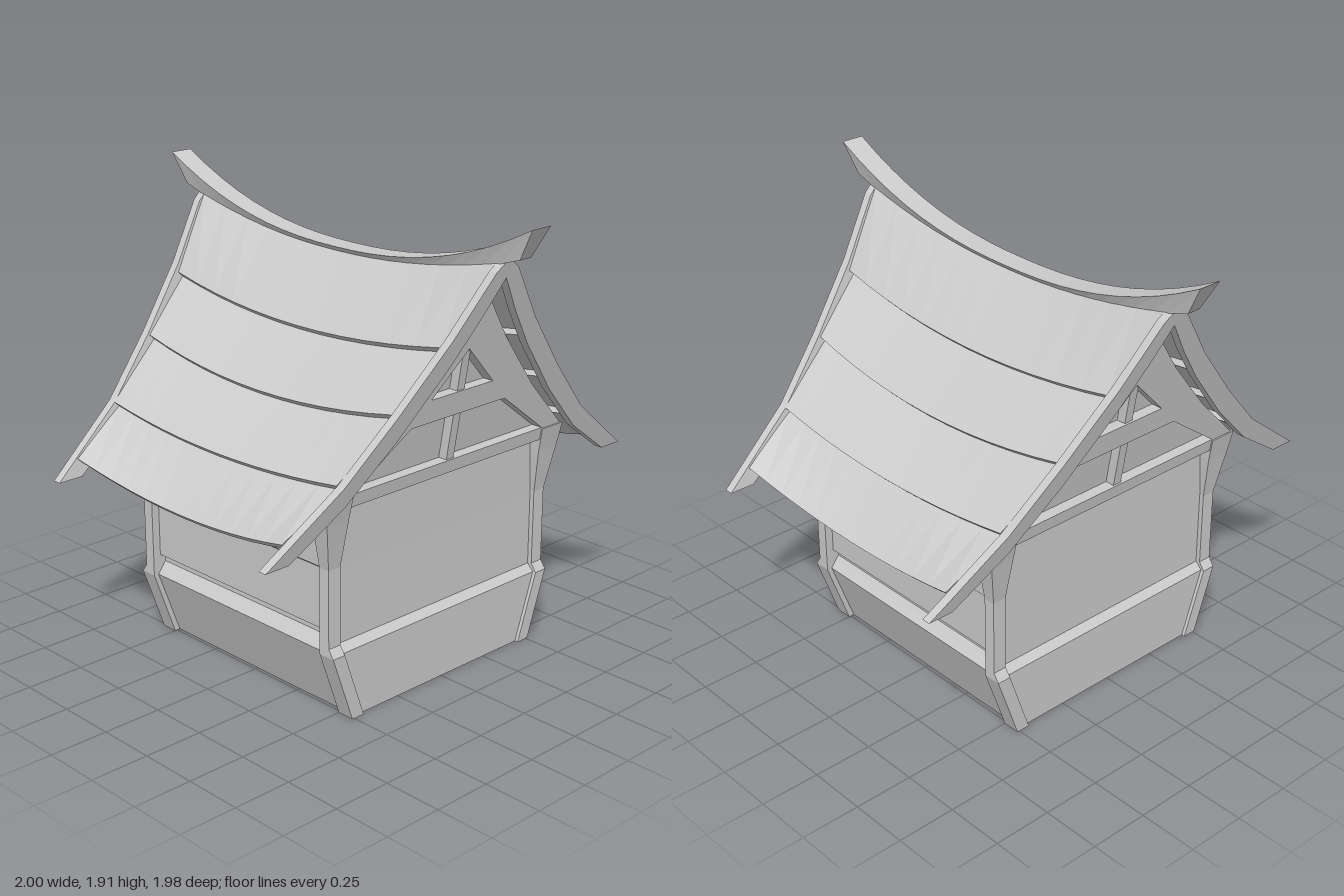
import * as THREE from 'three';

const mat = new THREE.MeshStandardMaterial({ color: 0xcccccc, flatShading: true });
const thin = new THREE.MeshStandardMaterial({ color: 0xcccccc, flatShading: true, side: THREE.DoubleSide });

// Solid through a row of cross-sections (each a ring of [x, y, z]), capped at both ends
function loft(rings) {
  const n = rings[0].length, tris = [];
  for (let i = 0; i < rings.length - 1; i++) {
    for (let j = 0; j < n; j++) {
      const k = (j + 1) % n;
      const [a, b, c, d] = [rings[i][j], rings[i][k], rings[i + 1][k], rings[i + 1][j]];
      tris.push([a, b, c], [a, c, d]);
    }
  }
  const first = rings[0], last = rings[rings.length - 1];
  for (let j = 1; j < n - 1; j++) {
    tris.push([first[0], first[j + 1], first[j]], [last[0], last[j], last[j + 1]]);
  }
  // Turn the faces outward whatever the order of the rings
  let volume = 0;
  const v = () => new THREE.Vector3();
  for (const [a, b, c] of tris) {
    volume += v().fromArray(a).dot(v().fromArray(b).cross(v().fromArray(c)));
  }
  if (volume < 0) tris.forEach((t) => t.reverse());
  const g = new THREE.BufferGeometry();
  g.setAttribute('position', new THREE.Float32BufferAttribute(tris.flat(2), 3));
  g.computeVertexNormals();
  return g;
}

// Horizontal rectangle as a loft section
const rect = (y, x0, x1, z0, z1) => [[x0, y, z0], [x1, y, z0], [x1, y, z1], [x0, y, z1]];

function add(parent, name, geometry, material = mat) {
  const mesh = new THREE.Mesh(geometry, material);
  mesh.name = name;
  parent.add(mesh);
  return mesh;
}

// Curved ridge beam with upswept, slanted ends
function ridgeBeam() {
  const rings = [];
  for (let i = 0; i <= 20; i++) {
    const t = i / 10 - 1, lift = Math.abs(t) ** 2.3;
    const top = 1.675 + 0.235 * lift, low = 1.645 + 0.14 * lift;
    rings.push([[t, top, 0.05], [t, top, -0.05], [0.93 * t, low, -0.03], [0.93 * t, low, 0.03]]);
  }
  return loft(rings);
}

// Roof courses: eave lines as [half width, y at end, y at middle, z at end, z at middle]
const COURSES = [
  [0.82, 1.755, 1.665, 0.03, 0.03],
  [0.75, 1.465, 1.4, 0.235, 0.265],
  [0.70, 1.245, 1.18, 0.435, 0.465],
  [0.65, 1.02, 0.98, 0.665, 0.685],
  [0.605, 0.845, 0.775, 0.89, 0.865],
];
function roofCourse(i) {
  const at = ([w, ye, yc, ze, zc], s, drop) => [
    w * s, yc + (ye - yc) * s * s - 0.02 * drop, zc + (ze - zc) * s * s - 0.021 * drop];
  const rings = [];
  for (let k = 0; k <= 12; k++) {
    const s = k / 6 - 1, tuck = i > 0 ? 1 : 0;
    rings.push([at(COURSES[i], s, tuck), at(COURSES[i + 1], s, 0),
      at(COURSES[i + 1], s, 1.1), at(COURSES[i], s, tuck + 1)]);
  }
  return loft(rings);
}

// Bargeboard over both slopes: [outer z, outer y, inner z, inner y]
function bargeboard() {
  const half = [
    [0.99, 0.77, 0.88, 0.77], [0.66, 1.02, 0.64, 0.935], [0.44, 1.25, 0.42, 1.15],
    [0.225, 1.5, 0.21, 1.395], [0.06, 1.73, 0.09, 1.56],
  ];
  const path = [...half, [0, 1.78, 0, 1.7],
    ...half.map(([a, b, c, d]) => [-a, b, -c, d]).reverse()];
  const x = (y) => 0.595 + (y - 0.77) * 0.227;
  return loft(path.map(([zo, yo, zi, yi]) => [
    [x(yo), yo, zo], [x(yo) + 0.037, yo, zo], [x(yi) + 0.037, yi, zi], [x(yi), yi, zi]]));
}

// Corner post: splayed foot, straight shaft, flared head
function cornerPost() {
  return loft([
    [0, 0.575, 0.45, 0.51], [0.285, 0.575, 0.55, 0.61], [0.32, 0.55, 0.55, 0.61],
    [0.64, 0.55, 0.55, 0.61], [0.83, 0.58, 0.535, 0.645], [0.93, 0.6, 0.53, 0.655],
  ].map(([y, x, zi, zo]) => rect(y, 0.5, x, zi, zo)));
}

// Gable truss, leaning outward with height
function lean(g) {
  g.rotateY(Math.PI / 2);
  const p = g.attributes.position;
  for (let i = 0; i < p.count; i++) p.setX(i, p.getX(i) + (p.getY(i) - 0.88) * 0.17);
  g.computeVertexNormals();
  return g;
}
const poly = (points) => points.map(([a, b]) => new THREE.Vector2(a, b));
function gableShape() {
  const half = [[0.535, 0.88], [0.655, 0.92], [0.42, 1.15], [0.21, 1.395], [0.09, 1.56]];
  return new THREE.Shape(poly([...half, [0, 1.7], ...half.map(([a, b]) => [-a, b]).reverse()]));
}
function gableFrame() {
  const shape = gableShape();
  shape.holes.push(
    new THREE.Path(poly([[0.53, 0.935], [-0.53, 0.935], [-0.26, 1.13], [0.26, 1.13]])),
    new THREE.Path(poly([[0.17, 1.225], [-0.17, 1.225], [0, 1.395]])));
  const g = new THREE.ExtrudeGeometry(shape, { depth: 0.06, bevelEnabled: false });
  return lean(g.translate(0, 0, 0.525));
}

export function createModel() {
  const model = new THREE.Group();
  model.name = 'curvedRoofHouse';

  add(model, 'ridgeBeam', ridgeBeam());

  // Front and back: roof slope and lapped plank wall over a sloping skirt
  for (const side of ['front', 'back']) {
    const group = new THREE.Group();
    group.name = side + 'Side';
    if (side === 'back') group.rotation.y = Math.PI;
    model.add(group);
    for (let i = 0; i < 4; i++) add(group, 'roofCourse' + (i + 1), roofCourse(i));
    const wall = [[0, 0.485], [0.285, 0.588], [0.315, 0.565], [0.335, 0.55], [0.36, 0.55],
      [0.37, 0.575], [0.62, 0.575], [0.635, 0.595], [0.86, 0.6]];
    add(group, 'plankWall', loft(wall.map(([y, z]) => rect(y, -0.51, 0.51, z - 0.02, z))));
    add(group, 'wallPlate', loft([rect(0.84, -0.51, 0.51, 0.57, 0.625),
      rect(0.9, -0.51, 0.51, 0.57, 0.63)]));
  }

  // Left and right: posts, side wall, gable truss and bargeboard
  for (const side of ['left', 'right']) {
    const group = new THREE.Group();
    group.name = side + 'Side';
    if (side === 'right') group.rotation.y = Math.PI;
    model.add(group);
    for (const dir of [1, -1]) add(group, 'cornerPost', cornerPost()).scale.z = dir;
    add(group, 'sideWall', loft([[0, 0.56, 0.46], [0.285, 0.56, 0.56], [0.315, 0.53, 0.56],
      [0.62, 0.53, 0.56], [0.88, 0.535, 0.545]]
      .map(([y, x, z]) => rect(y, x - 0.02, x, -z, z))));
    add(group, 'gableFrame', gableFrame());
    add(group, 'gablePanel',
      lean(new THREE.ShapeGeometry(gableShape()).translate(0, 0, 0.535)), thin);
    add(group, 'kingPost',
      lean(new THREE.BoxGeometry(0.04, 0.47, 0.04).translate(0, 1.165, 0.555)));
    add(group, 'bargeboard', bargeboard());
  }
  return model;
}
